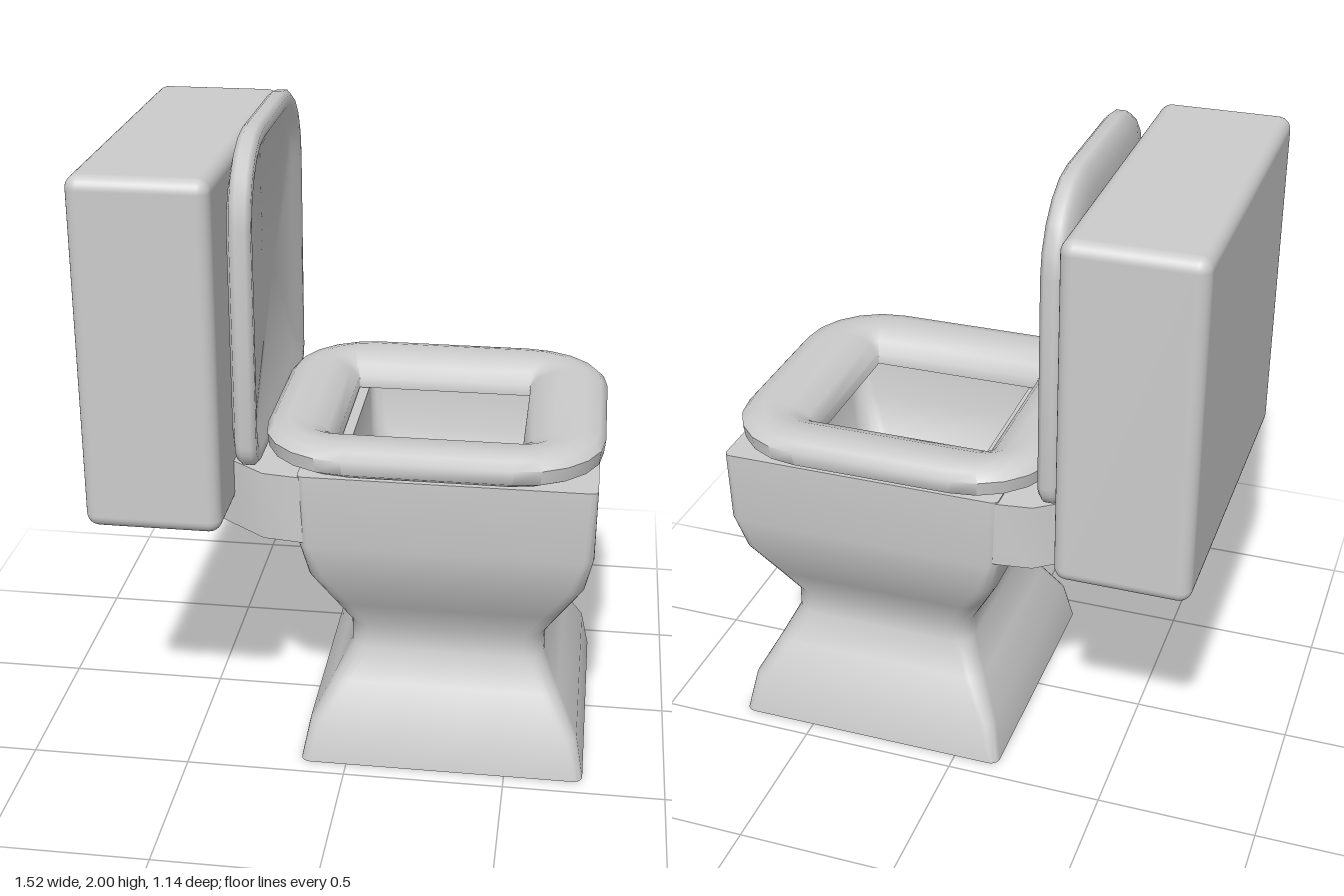
import * as THREE from 'three';
import { toCreasedNormals } from 'three/addons/utils/BufferGeometryUtils.js';
import { RoundedBoxGeometry } from 'three/addons/geometries/RoundedBoxGeometry.js';

const STEPS = 5; // segments per rounded corner

// Rounded rectangle in the xz plane; rNear rounds the -x corners, r the +x ones
function ring({ y, cx = 0, hx, hz, r, rNear = r }) {
  const points = [];
  [[1, 1, r], [-1, 1, rNear], [-1, -1, rNear], [1, -1, r]].forEach(([sx, sz, rad], k) => {
    for (let i = 0; i <= STEPS; i++) {
      const a = (k + i / STEPS) * Math.PI / 2;
      points.push([cx + sx * (hx - rad) + rad * Math.cos(a), y, sz * (hz - rad) + rad * Math.sin(a)]);
    }
  });
  return points;
}

// Skin a row of rings, either capped at both ends or closed into a loop
function loft(sections, { loop = false, crease = 0.9 } = {}) {
  const rings = sections.map(ring);
  const n = rings[0].length;
  const m = rings.length;
  const position = rings.flat(2);
  const index = [];
  for (let j = 0; j < (loop ? m : m - 1); j++) {
    for (let i = 0; i < n; i++) {
      const a = j * n + i, b = j * n + (i + 1) % n;
      const c = ((j + 1) % m) * n + i, d = ((j + 1) % m) * n + (i + 1) % n;
      index.push(a, c, b, b, c, d);
    }
  }
  if (!loop) {
    for (const [s, j] of [[sections[0], 0], [sections[m - 1], m - 1]]) {
      const centre = position.length / 3;
      position.push(s.cx ?? 0, s.y, 0);
      for (let i = 0; i < n; i++) {
        const a = j * n + i, b = j * n + (i + 1) % n;
        index.push(centre, ...(j === 0 ? [a, b] : [b, a]));
      }
    }
  }
  const geometry = new THREE.BufferGeometry();
  geometry.setAttribute('position', new THREE.Float32BufferAttribute(position, 3));
  geometry.setIndex(index);
  return toCreasedNormals(geometry, crease);
}

export function createModel() {
  const model = new THREE.Group();
  model.name = 'toilet';
  const material = new THREE.MeshStandardMaterial({ color: 0xcccccc });
  const add = (name, geometry) => {
    const mesh = new THREE.Mesh(geometry, material);
    mesh.name = name;
    model.add(mesh);
    return mesh;
  };

  // Pedestal and bowl: up the outside, over the rim, down the inside [y, half width, corner]
  const bowl = [
    [0, 0.445, 0.03], [0.13, 0.42, 0.04], [0.25, 0.355, 0.05], [0.35, 0.305, 0.06],
    [0.43, 0.305, 0.06], [0.53, 0.358, 0.06], [0.65, 0.42, 0.05], [0.77, 0.443, 0.03],
    [1.0, 0.445, 0.02], [1.0, 0.32, 0.04], [0.85, 0.31, 0.06], [0.7, 0.26, 0.08],
    [0.6, 0.19, 0.08], [0.56, 0.1, 0.06],
  ].map(([y, h, r]) => ({ y, cx: 0.3, hx: h, hz: h, r }));
  add('bowl', loft(bowl));

  // Neck: tapers back from the bowl to beneath the cistern
  const side = [[-0.02, 0.43], [-0.14, 0.44], [-0.25, 0.425], [-0.35, 0.35], [-0.43, 0.29], [-0.51, 0.26]];
  const plan = new THREE.Shape([
    ...side.map(([x, z]) => new THREE.Vector2(x, z)),
    ...side.slice().reverse().map(([x, z]) => new THREE.Vector2(x, -z)),
  ]);
  const neck = new THREE.ExtrudeGeometry(plan, { depth: 0.215, bevelEnabled: false });
  neck.rotateX(-Math.PI / 2).translate(0, 0.78, 0);
  add('neck', toCreasedNormals(neck, 0.8));

  // Seat: padded ring with a rectangular opening
  const seat = [
    { y: 1.005, cx: 0.245, hx: 0.48, hz: 0.44, r: 0.25 },
    { y: 1.025, cx: 0.245, hx: 0.51, hz: 0.47, r: 0.26 },
    { y: 1.07, cx: 0.245, hx: 0.515, hz: 0.475, r: 0.26 },
    { y: 1.093, cx: 0.245, hx: 0.495, hz: 0.455, r: 0.25 },
    { y: 1.105, cx: 0.245, hx: 0.45, hz: 0.41, r: 0.2 },
    { y: 1.1, cx: 0.235, hx: 0.37, hz: 0.34, r: 0.09 },
    { y: 1.075, cx: 0.23, hx: 0.31, hz: 0.285, r: 0.03 },
    { y: 1.04, cx: 0.23, hx: 0.283, hz: 0.257, r: 0.005 },
    { y: 1.005, cx: 0.23, hx: 0.28, hz: 0.255, r: 0.005 },
  ];
  add('seat', loft(seat, { loop: true }));

  // Raised lid: domed back, rounded rim and a shallow recessed front
  const lid = [
    { y: -0.35, hx: 0.37, hz: 0.33, r: 0.05, rNear: 0.16 },
    { y: -0.345, hx: 0.43, hz: 0.385, r: 0.06, rNear: 0.21 },
    { y: -0.328, hx: 0.485, hz: 0.435, r: 0.07, rNear: 0.24 },
    { y: -0.31, hx: 0.5, hz: 0.445, r: 0.08, rNear: 0.25 },
    { y: -0.28, hx: 0.5, hz: 0.445, r: 0.08, rNear: 0.25 },
    { y: -0.265, hx: 0.485, hz: 0.43, r: 0.07, rNear: 0.24 },
    { y: -0.267, hx: 0.455, hz: 0.4, r: 0.06, rNear: 0.22 },
    { y: -0.285, hx: 0.42, hz: 0.365, r: 0.05, rNear: 0.19 },
  ];
  const lidMesh = add('lid', loft(lid));
  lidMesh.rotation.z = -Math.PI / 2;
  lidMesh.position.y = 1.5;

  // Cistern
  const cistern = add('cistern', new RoundedBoxGeometry(0.41, 1.075, 1.14, 4, 0.04));
  cistern.position.set(-0.557, 1.388, 0);

  return model;
}
